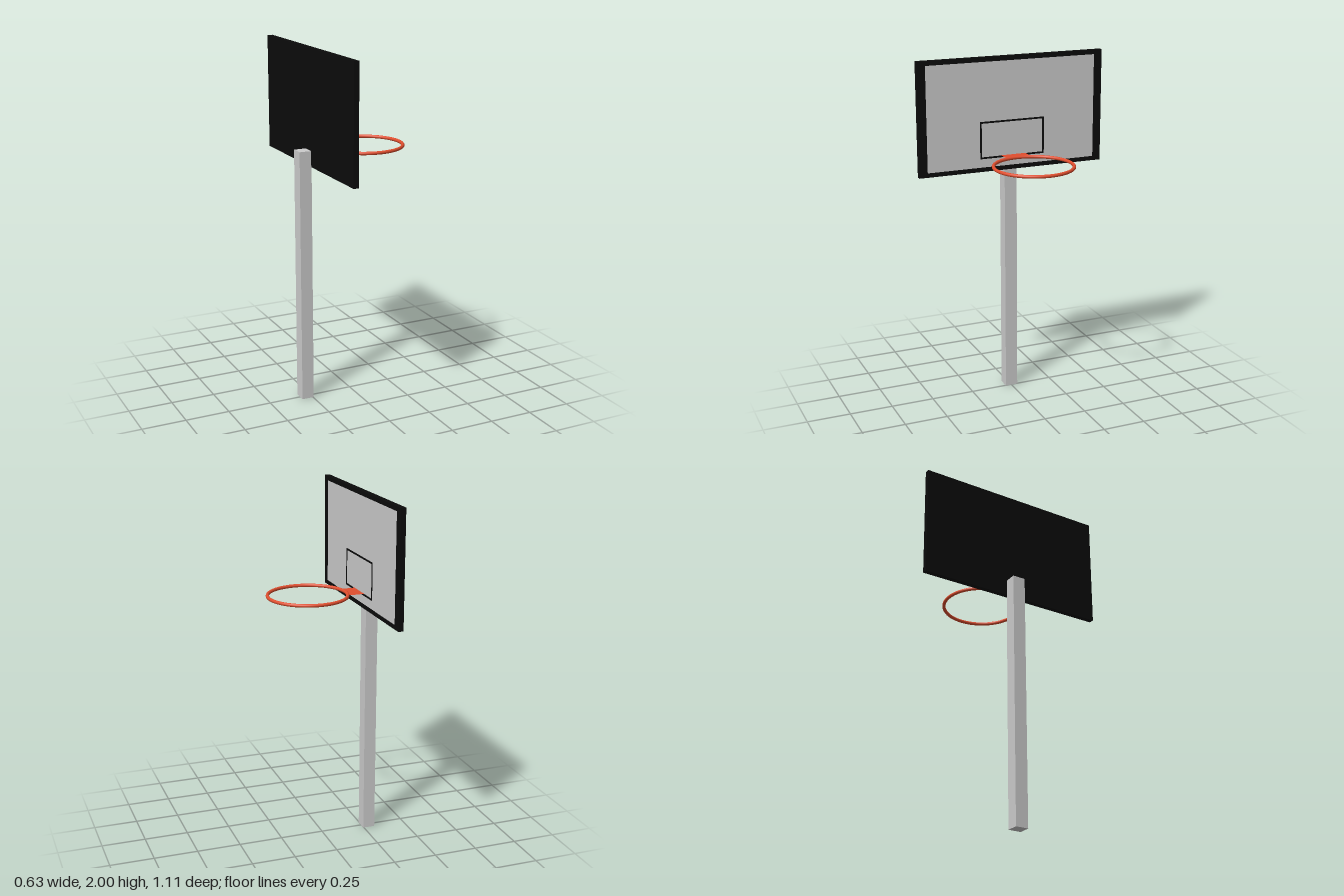
import * as THREE from 'three';

const grey = new THREE.MeshStandardMaterial({ color: 0xcccccc });
const black = new THREE.MeshStandardMaterial({ color: 0x0b0b0b });
const orange = new THREE.MeshStandardMaterial({ color: 0xe04e2e });
const orangeSheet = new THREE.MeshStandardMaterial({ color: 0xe04e2e, side: THREE.DoubleSide });

// Box given by its min and max corners
function box(name, material, [x0, y0, z0], [x1, y1, z1]) {
  const mesh = new THREE.Mesh(new THREE.BoxGeometry(x1 - x0, y1 - y0, z1 - z0), material);
  mesh.position.set((x0 + x1) / 2, (y0 + y1) / 2, (z0 + z1) / 2);
  mesh.name = name;
  return mesh;
}

// Rectangular outline facing +x, with separate side and top/bottom bar widths
function outline(name, material, x0, x1, halfWidth, y0, y1, side, bar) {
  const group = new THREE.Group();
  group.name = name;
  for (const s of [-1, 1]) {
    const z = s * (halfWidth - side / 2);
    group.add(box(name + 'Side', material, [x0, y0, z - side / 2], [x1, y1, z + side / 2]));
  }
  const inner = halfWidth - side;
  group.add(box(name + 'Bottom', material, [x0, y0, -inner], [x1, y0 + bar, inner]));
  group.add(box(name + 'Top', material, [x0, y1 - bar, -inner], [x1, y1, inner]));
  return group;
}

export function createModel() {
  const model = new THREE.Group();
  model.name = 'basketballHoop';

  // Square post behind the board
  model.add(box('post', grey, [-0.316, 0, -0.038], [-0.246, 1.445, 0.036]));

  // Backboard: black back, black border and grey face
  const board = new THREE.Group();
  board.name = 'backboard';
  board.add(box('backPanel', black, [-0.248, 1.356, -0.553], [-0.228, 2, 0.553]));
  board.add(outline('border', black, -0.228, -0.218, 0.553, 1.356, 2, 0.048, 0.025));
  board.add(box('facePanel', grey, [-0.228, 1.381, -0.505], [-0.218, 1.975, 0.505]));
  board.add(outline('targetBox', black, -0.22, -0.216, 0.194, 1.43, 1.642, 0.01, 0.01));
  model.add(board);

  // Thin bracket plate between board and ring
  const bracket = new THREE.Mesh(new THREE.PlaneGeometry(0.083, 0.147), orangeSheet);
  bracket.rotation.x = -Math.PI / 2;
  bracket.position.set(-0.1765, 1.441, -0.006);
  bracket.name = 'bracket';
  model.add(bracket);

  // Ring
  const ring = new THREE.Mesh(new THREE.TorusGeometry(0.22, 0.0095, 16, 64), orange);
  ring.rotation.x = Math.PI / 2;
  ring.position.set(0.084, 1.441, -0.001);
  ring.name = 'ring';
  model.add(ring);

  return model;
}
